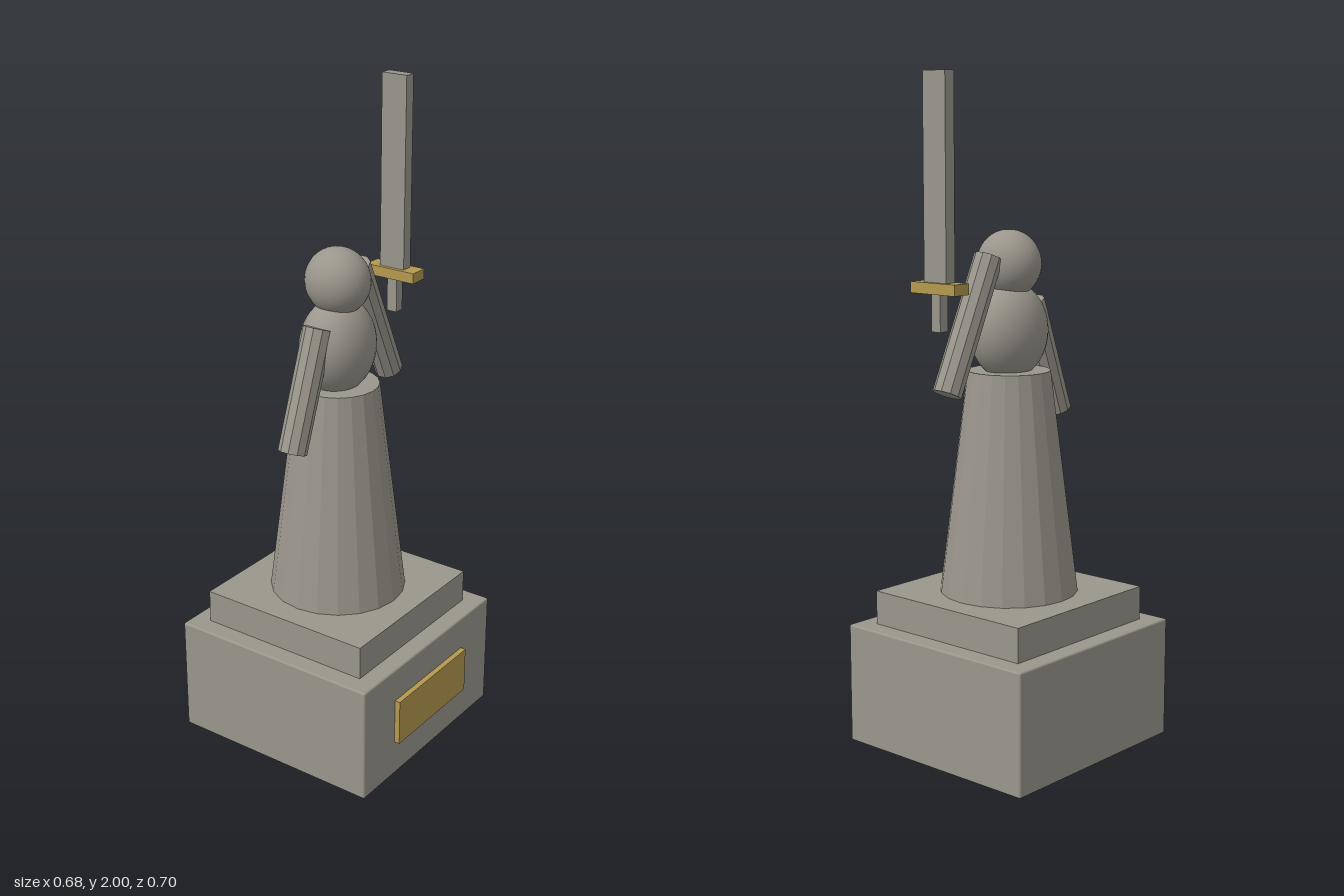
import * as THREE from 'three';
import { RoundedBoxGeometry } from 'three/addons/geometries/RoundedBoxGeometry.js';

export function createModel() {
  const stone = new THREE.MeshStandardMaterial({ color: 0x9a968c });
  stone.name = 'stone';
  const brass = new THREE.MeshStandardMaterial({ color: 0xb5994f });
  brass.name = 'brass';

  const model = new THREE.Group();
  model.name = 'statue';
  const AXIS_Z = -0.009; // the plaque shifts the statue slightly back

  const add = (name, geometry, material, x, y, z = AXIS_Z) => {
    const mesh = new THREE.Mesh(geometry, material);
    mesh.name = name;
    mesh.position.set(x, y, z);
    model.add(mesh);
    return mesh;
  };
  const box = (name, material, w, h, d, x, bottom, z) =>
    add(name, new THREE.BoxGeometry(w, h, d), material, x, bottom + h / 2, z);
  const ellipsoid = (name, rx, ry, rz, y) =>
    add(name, new THREE.SphereGeometry(1, 32, 24).scale(rx, ry, rz), stone, 0, y);
  // Faceted cylinder: separate the faces so every side is flat
  const faceted = (rTop, rBottom, h, sides) => {
    const g = new THREE.CylinderGeometry(rTop, rBottom, h, sides).toNonIndexed();
    g.computeVertexNormals();
    return g;
  };
  const arm = (name, shoulder, hand) => {
    const a = new THREE.Vector2(...shoulder), b = new THREE.Vector2(...hand);
    const mesh = add(name, faceted(0.043, 0.043, a.distanceTo(b), 10), stone,
      (a.x + b.x) / 2, (a.y + b.y) / 2);
    mesh.rotation.z = Math.atan2(b.x - a.x, a.y - b.y);
  };

  // Pedestal
  add('pedestal', new RoundedBoxGeometry(0.684, 0.367, 0.684, 2, 0.006), stone, 0, 0.1835);
  box('pedestalStep', stone, 0.566, 0.105, 0.566, 0, 0.365, AXIS_Z);
  box('plaque', brass, 0.368, 0.146, 0.02, 0, 0.115, 0.34);

  // Figure
  add('robe', faceted(0.124, 0.208, 0.67, 20), stone, 0, 0.805);
  ellipsoid('torso', 0.128, 0.146, 0.107, 1.257);
  ellipsoid('head', 0.09, 0.1, 0.1, 1.454);
  arm('leftArm', [0.09, 1.478], [0.267, 1.097]);
  arm('rightArm', [-0.0965, 1.338], [-0.2235, 0.994]);

  // Sword
  box('swordBlade', stone, 0.036, 0.585, 0.085, 0.294, 1.415, AXIS_Z);
  box('swordGuard', brass, 0.06, 0.032, 0.17, 0.294, 1.387, AXIS_Z);
  box('swordGrip', stone, 0.032, 0.115, 0.034, 0.294, 1.28, AXIS_Z);

  return model;
}
